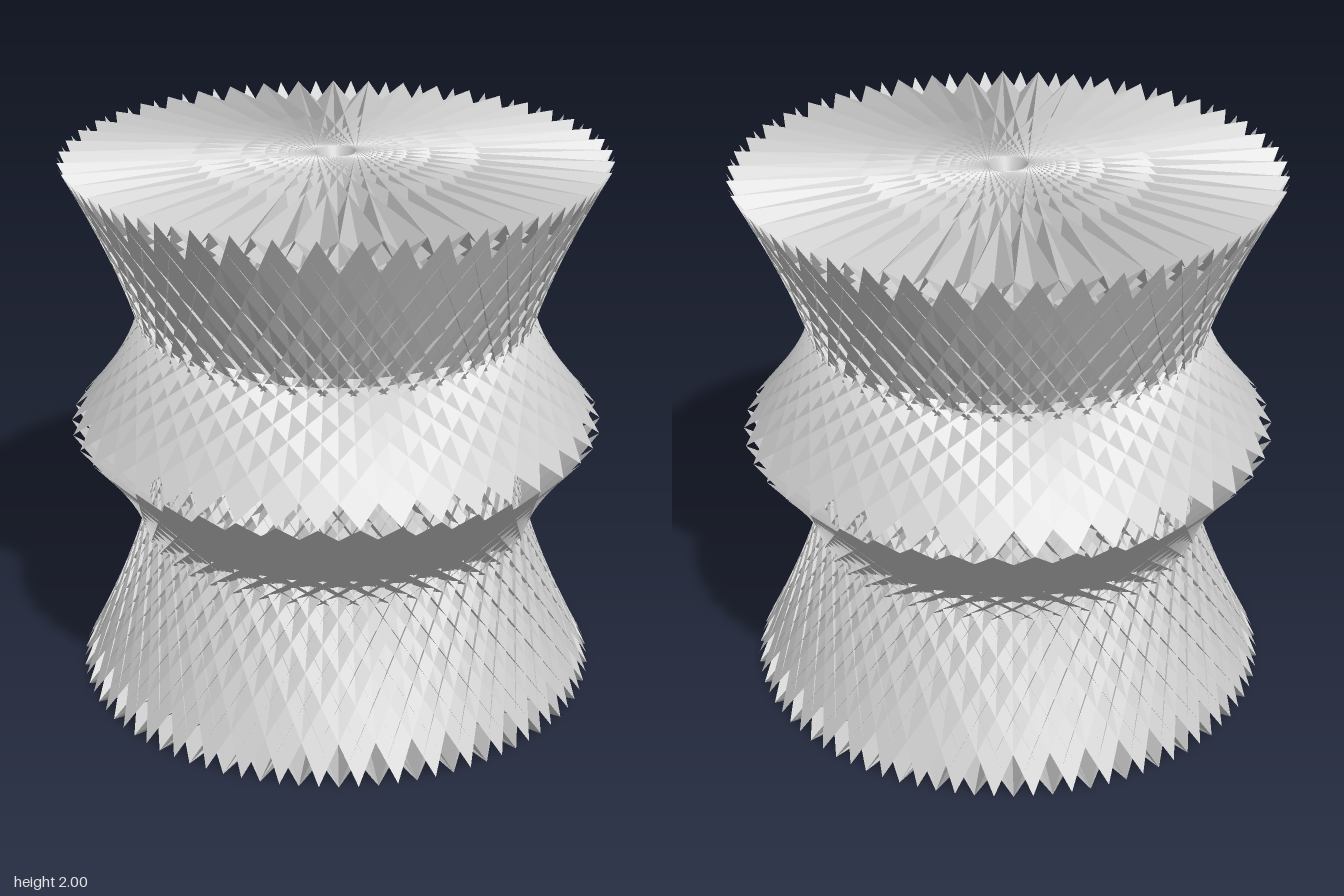
import * as THREE from 'three';

const POINTS = 44;   // tips on each star ring
const STEP = 21;     // tips skipped by each star chord
const RADIUS = 0.975;

// point on a ring, measured in tip steps
function ringPoint(step, y) {
  const a = (step / POINTS) * Math.PI * 2;
  return [RADIUS * Math.sin(a), y, RADIUS * Math.cos(a)];
}

// one triangle per star chord at rimY, its tip turned by tipShift steps on the ring at tipY
function starBlades(rimY, tipY, tipShift) {
  const positions = [];
  for (let i = 0; i < POINTS; i++) {
    positions.push(
      ...ringPoint(i, rimY),
      ...ringPoint(i + STEP, rimY),
      ...ringPoint(i + tipShift, tipY),
    );
  }
  const geometry = new THREE.BufferGeometry();
  geometry.setAttribute('position', new THREE.Float32BufferAttribute(positions, 3));
  geometry.computeVertexNormals();
  return geometry;
}

export function createModel() {
  const group = new THREE.Group();
  group.name = 'starDrum';
  const material = new THREE.MeshStandardMaterial({
    color: 0xcccccc, flatShading: true, side: THREE.DoubleSide,
  });

  const near = STEP / 2;               // tip on the chord's own side of the axis
  const far = STEP / 2 + POINTS / 2;   // tip across the axis
  const parts = [
    // short blades meet at the tips of the middle ring
    ['upperShortBlades', 2, 1, near],
    ['lowerShortBlades', 0, 1, near],
    // long blades cross the axis and run the full height
    ['upperLongBlades', 2, 0, far],
    ['lowerLongBlades', 0, 2, far],
  ];
  for (const [name, rimY, tipY, shift] of parts) {
    const mesh = new THREE.Mesh(starBlades(rimY, tipY, shift), material);
    mesh.name = name;
    group.add(mesh);
  }
  return group;
}
